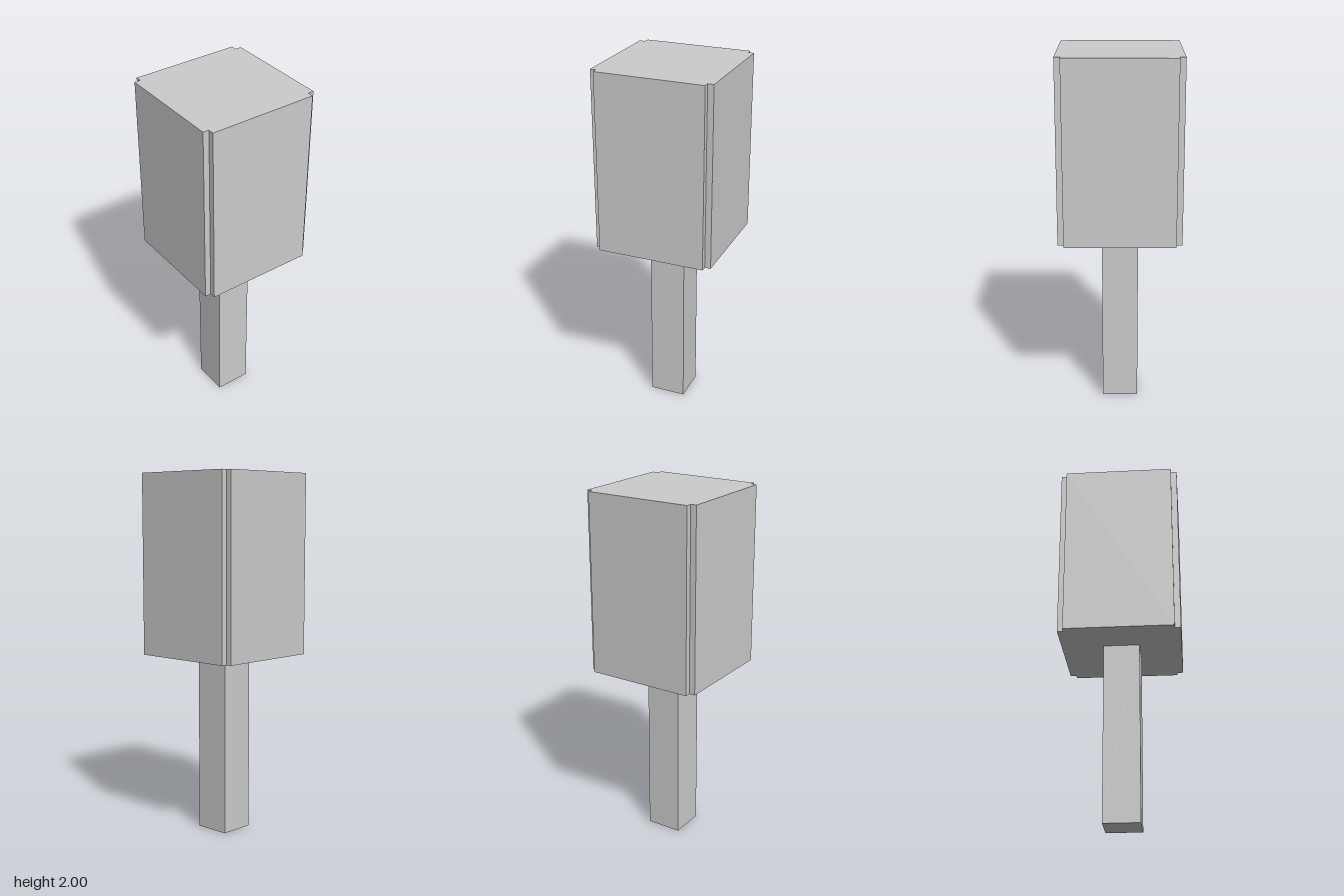
import * as THREE from 'three';

const OUTER = 0.333; // half width of the head
const INNER = 0.3;   // where the corner notches begin

export function createModel() {
  const model = new THREE.Group();
  const material = new THREE.MeshStandardMaterial({ color: 0xcccccc, flatShading: true });

  const add = (name, geometry) => {
    const mesh = new THREE.Mesh(geometry, material);
    mesh.name = name;
    model.add(mesh);
  };

  // Square handle
  add('handle', new THREE.BoxGeometry(0.2, 1, 0.2).translate(0, 0.5, 0));

  // Head: a square block with a small notch along each upright edge
  const corners = [];
  for (let i = 0; i < 4; i++) {
    for (const [x, y] of [[OUTER, INNER], [INNER, INNER], [INNER, OUTER]]) {
      corners.push(new THREE.Vector2(x, y).rotateAround(new THREE.Vector2(), i * Math.PI / 2));
    }
  }
  const head = new THREE.ExtrudeGeometry(new THREE.Shape(corners), { depth: 1, bevelEnabled: false });
  add('head', head.rotateX(-Math.PI / 2).translate(0, 1, 0));

  return model;
}
